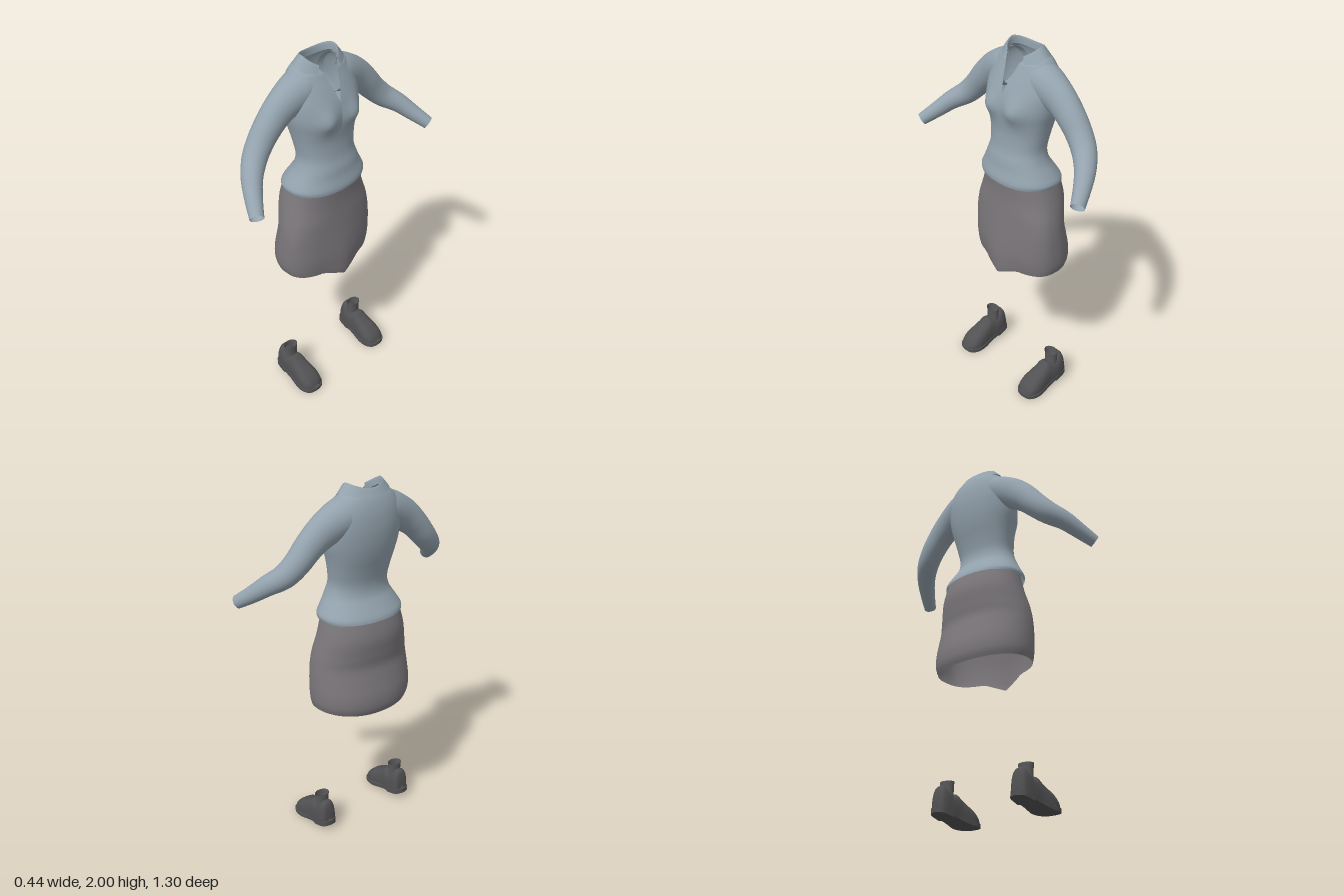
import * as THREE from 'three';

const mat = (name, color) => {
  const m = new THREE.MeshStandardMaterial({ color, side: THREE.DoubleSide });
  m.name = name;
  return m;
};

// Smooth (Catmull-Rom) sampling of a table of rows, t in 0..1
function sample(rows, t) {
  const n = rows.length - 1, f = t * n, i = Math.min(Math.floor(f), n - 1), u = f - i;
  const row = k => rows[Math.max(0, Math.min(n, k))];
  return row(i).map((p1, c) => {
    const p0 = row(i - 1)[c], p2 = row(i + 1)[c], p3 = row(i + 2)[c];
    return p1 + 0.5 * u * (p2 - p0 + u * (2 * p0 - 5 * p1 + 4 * p2 - p3 + u * (3 * (p1 - p2) + p3 - p0)));
  });
}

// Surface from cross-sections: point(t, u) returns [x, y, z]
function loft(rows, cols, closed, point) {
  const pos = [], idx = [], w = closed ? cols : cols + 1;
  for (let i = 0; i <= rows; i++)
    for (let j = 0; j < w; j++) pos.push(...point(i / rows, j / cols));
  for (let i = 0; i < rows; i++)
    for (let j = 0; j < cols; j++) {
      const k = (j + 1) % w, a = i * w + j, b = i * w + k, c = a + w, d = b + w;
      idx.push(a, c, b, b, c, d);
    }
  const g = new THREE.BufferGeometry();
  g.setAttribute('position', new THREE.Float32BufferAttribute(pos, 3));
  g.setIndex(idx);
  g.computeVertexNormals();
  return g;
}

const spow = (v, e) => Math.sign(v) * Math.abs(v) ** e;
const clamp01 = v => Math.max(0, Math.min(1, v));

// Blouse: height, back x, front x, half width, half width of the neck opening
const BODICE = [
  [1.285, -0.18, 0.163, 0.237, 0], [1.31, -0.172, 0.163, 0.24, 0], [1.36, -0.14, 0.15, 0.212, 0],
  [1.41, -0.112, 0.142, 0.184, 0], [1.47, -0.106, 0.126, 0.168, 0], [1.55, -0.124, 0.12, 0.178, 0],
  [1.62, -0.145, 0.125, 0.193, 0], [1.69, -0.16, 0.13, 0.21, 0], [1.77, -0.168, 0.118, 0.215, 0],
  [1.84, -0.165, 0.09, 0.205, 0.02], [1.89, -0.155, 0.066, 0.188, 0.033], [1.93, -0.14, 0.05, 0.16, 0.045],
  [1.955, -0.125, 0.045, 0.13, 0.053], [1.972, -0.113, 0.04, 0.105, 0.06],
];

function bodiceGeometry() {
  return loft(52, 56, false, (t, u) => {
    const [y, back, front, hw, gap] = sample(BODICE, t);
    const g = Math.asin(Math.max(0, gap) / hw), a = g + u * 2 * (Math.PI - g);
    const c = Math.cos(a), z = hw * spow(Math.sin(a), 0.92);
    let x = (back + front) / 2 + (front - back) / 2 * spow(c, 0.88);
    // bust
    if (c > 0) x += 0.03 * Math.min(1, c * 2) * Math.exp(-(((Math.abs(z) - 0.09) / 0.055) ** 2) - ((y - 1.69) / 0.06) ** 2);
    return [x, y - 0.035 * Math.max(0, c) * clamp01((y - 1.92) / 0.05), z];
  });
}

// Folded collar: inside, top edge, outer fall
function collarGeometry() {
  const rows = [[0.075, 0.1, -0.04, 0], [0.077, 0.103, 0, 0], [0.088, 0.118, -0.012, 0.2], [0.107, 0.146, -0.045, 1]];
  return loft(9, 40, false, (t, u) => {
    const [rx, rz, dy, fall] = sample(rows, t);
    const a = 0.6 + u * 2 * (Math.PI - 0.6), c = Math.cos(a), s = Math.sin(a), front = Math.max(0, c);
    return [-0.035 + rx * c, 1.975 + 0.025 * s * s - 0.03 * front + dy - 0.025 * fall * front, rz * s];
  });
}

// Sleeve, flared at the shoulder: centre x, y, z and the two radii
const SLEEVE = [
  [-0.04, 1.845, 0.09, 0.1, 0.1], [-0.04, 1.832, 0.135, 0.098, 0.1], [-0.04, 1.81, 0.19, 0.088, 0.096],
  [-0.04, 1.772, 0.26, 0.075, 0.087], [-0.038, 1.715, 0.33, 0.07, 0.076], [-0.033, 1.645, 0.395, 0.066, 0.068],
  [-0.01, 1.585, 0.455, 0.062, 0.062], [0.045, 1.535, 0.52, 0.054, 0.052], [0.11, 1.48, 0.57, 0.045, 0.043],
  [0.185, 1.425, 0.618, 0.036, 0.034],
];

function sleeveGeometry(side) {
  const X = new THREE.Vector3(1, 0, 0);
  return loft(40, 28, true, (t, u) => {
    const [x, y, z, ra, rb] = sample(SLEEVE, t);
    const p = sample(SLEEVE, Math.max(0, t - 0.02)), q = sample(SLEEVE, Math.min(1, t + 0.02));
    const dir = new THREE.Vector3(q[0] - p[0], q[1] - p[1], q[2] - p[2]).normalize();
    const b = dir.clone().cross(X).normalize(), a = b.clone().cross(dir);
    const v = new THREE.Vector3(x, y, z)
      .addScaledVector(a, ra * Math.cos(u * 2 * Math.PI))
      .addScaledVector(b, rb * Math.sin(u * 2 * Math.PI));
    return [v.x, v.y, v.z * side];
  });
}

// Skirt: height, back x, front x, half width
const SKIRT = [
  [1.31, -0.165, 0.137, 0.222], [1.2, -0.194, 0.136, 0.25], [1.1, -0.19, 0.145, 0.275], [1.03, -0.184, 0.15, 0.287],
  [0.96, -0.2, 0.156, 0.293], [0.88, -0.22, 0.16, 0.296], [0.82, -0.222, 0.156, 0.293], [0.78, -0.208, 0.15, 0.283],
];

function skirtGeometry() {
  return loft(36, 64, true, (t, u) => {
    const [y, back, front, hw] = sample(SKIRT, t);
    const a = u * 2 * Math.PI, c = Math.cos(a), z = hw * spow(Math.sin(a), 0.92);
    // fuller towards the front, rounder behind
    const full = clamp01((1.31 - y) / 0.2), mid = (back + front) / 2 + 0.025 * full;
    let x = mid + (c > 0 ? (front - mid) * c ** (0.88 - 0.13 * full) : (back - mid) * (-c) ** (0.88 + 0.1 * full));
    // pointed hem and front fold
    const point = c > 0 ? Math.max(0, 1 - Math.abs(z) / 0.13) : 0;
    const low = clamp01((1.1 - y) / 0.3);
    x += 0.018 * point * low;
    const drop = c > 0 ? 0.01 * c + 0.055 * point : 0.02 * c * c;
    return [x, y - drop * low * low, z];
  });
}

// Shoe upper: x, bottom, top, half width
const UPPER = [
  [-0.083, 0.06, 0.075, 0.015], [-0.08, 0.06, 0.13, 0.034], [-0.068, 0.058, 0.178, 0.045], [-0.04, 0.055, 0.184, 0.052],
  [0, 0.048, 0.15, 0.055], [0.042, 0.04, 0.158, 0.055], [0.07, 0.035, 0.14, 0.058], [0.11, 0.025, 0.117, 0.064],
  [0.15, 0.02, 0.096, 0.066], [0.19, 0.018, 0.064, 0.055], [0.21, 0.018, 0.03, 0.025],
];

function upperGeometry() {
  return loft(40, 24, false, (t, u) => {
    const [x, yb, yt, hw] = sample(UPPER, t), a = u * Math.PI;
    return [x, yb + (yt - yb) * Math.max(0, Math.sin(a)) ** 0.75, hw * spow(Math.cos(a), 0.7)];
  });
}

// Flat slab following the tilt of the foot
function slabGeometry(half, depth, lower) {
  const outline = [...half, ...half.slice(1, -1).reverse().map(([x, z]) => [x, -z])];
  const curve = new THREE.CatmullRomCurve3(outline.map(([x, z]) => new THREE.Vector3(x, z, 0)), true);
  const shape = new THREE.Shape(curve.getPoints(48).map(p => new THREE.Vector2(p.x, p.y)));
  const g = new THREE.ExtrudeGeometry(shape, { depth, bevelEnabled: false }).rotateX(Math.PI / 2);
  const p = g.attributes.position;
  for (let i = 0; i < p.count; i++) {
    const k = Math.max(0, (0.12 - p.getX(i)) / 0.215);
    p.setY(i, p.getY(i) + 0.02 + 0.05 * k - lower);
  }
  g.computeVertexNormals();
  return g;
}
const SOLE = [[-0.096, 0], [-0.08, 0.042], [-0.03, 0.055], [0.04, 0.057], [0.11, 0.068], [0.17, 0.069], [0.207, 0.048], [0.219, 0]];
const HEEL = [[-0.096, 0], [-0.08, 0.042], [-0.03, 0.054], [-0.004, 0.054], [0.002, 0.03], [0.003, 0]];

function sockGeometry() {
  return loft(6, 24, true, (t, u) => {
    const a = u * 2 * Math.PI, r = 1 - 0.08 * Math.sin(t * Math.PI);
    return [-0.006 + 0.032 * r * Math.cos(a), 0.09 + 0.125 * t, 0.043 * r * Math.sin(a)];
  });
}

export function createModel() {
  const model = new THREE.Group();
  const blouse = mat('blouse blue grey', 0x93a2ad);
  const skirt = mat('skirt grey', 0x7b777b);
  const leather = mat('shoe dark grey', 0x515153);
  const knit = mat('sock grey', 0x5a595b);
  const add = (parent, name, geometry, material) => {
    const m = new THREE.Mesh(geometry, material);
    m.name = name;
    parent.add(m);
  };

  add(model, 'bodice', bodiceGeometry(), blouse);
  add(model, 'collar', collarGeometry(), blouse);
  add(model, 'skirt', skirtGeometry(), skirt);

  for (const side of [1, -1]) {
    const label = side > 0 ? 'Near' : 'Far';
    add(model, 'sleeve' + label, sleeveGeometry(side), blouse);
    const foot = new THREE.Group();
    foot.name = 'foot' + label;
    foot.position.z = 0.264 * side;
    add(foot, 'shoeUpper', upperGeometry(), leather);
    add(foot, 'sole', slabGeometry(SOLE, 0.02, 0), leather);
    add(foot, 'heel', slabGeometry(HEEL, 0.01, 0.019), leather);
    add(foot, 'sock', sockGeometry(), knit);
    model.add(foot);
  }
  return model;
}
